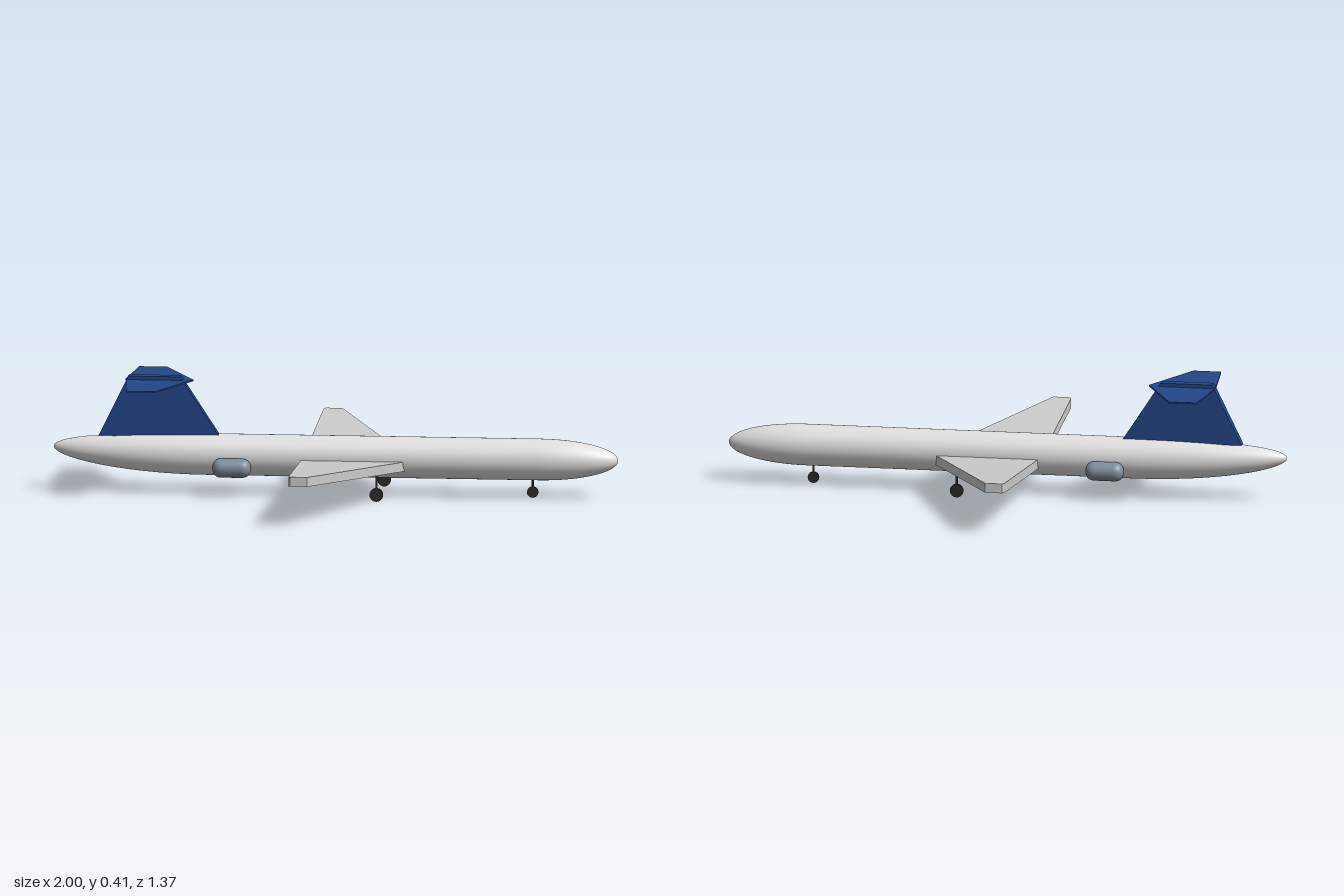
import * as THREE from 'three';

const mat = (name, color) => {
  const m = new THREE.MeshStandardMaterial({ color });
  m.name = name;
  return m;
};

// Round body along x, with elliptical ends: tail at x0..x1, nose at x2..x3
function roundBody(x0, x1, x2, x3, r, power = 2) {
  const pts = [], n = 14;
  const end = (a) => [Math.pow(Math.cos(a), 2 / power), r * Math.pow(Math.sin(a), 2 / power)];
  for (let i = 0; i <= n; i++) {
    const [t, rad] = end((i / n) * Math.PI / 2);
    pts.push(new THREE.Vector2(i ? rad : 0, x1 - (x1 - x0) * (i === n ? 0 : t)));
  }
  for (let i = n; i >= 0; i--) {
    const [t, rad] = end((i / n) * Math.PI / 2);
    pts.push(new THREE.Vector2(i ? rad : 0, x2 + (x3 - x2) * (i === n ? 0 : t)));
  }
  return new THREE.LatheGeometry(pts, 40).rotateZ(-Math.PI / 2);
}

const slab = (pts, depth) => new THREE.ExtrudeGeometry(
  new THREE.Shape(pts.map(([x, y]) => new THREE.Vector2(x, y))),
  { depth, bevelEnabled: false });

// Flat panel from [x, z] outline on one side, rising outward by slope
function panel(outline, side, bottom, thickness, slope) {
  const g = slab(outline.map(([x, z]) => [x, z * side]), thickness)
    .rotateX(Math.PI / 2).translate(0, bottom + thickness, 0);
  const p = g.attributes.position;
  for (let i = 0; i < p.count; i++) p.setY(i, p.getY(i) + Math.abs(p.getZ(i)) * slope);
  g.computeVertexNormals();
  return g;
}

export function createModel() {
  const model = new THREE.Group();
  model.name = 'airliner';
  const white = mat('fuselage white', 0xe0e0e0);
  const grey = mat('wing grey', 0xcccccc);
  const blue = mat('tail blue', 0x234588);
  const steel = mat('engine steel', 0x7f8c99);
  const dark = mat('gear black', 0x2a2a2a);
  const add = (name, geo, material, x = 0, y = 0, z = 0) => {
    const m = new THREE.Mesh(geo, material);
    m.name = name;
    m.position.set(x, y, z);
    model.add(m);
  };

  // Fuselage, with the tail cone swept slightly upward
  const body = roundBody(-1, -0.45, 0.72, 1, 0.0735);
  const p = body.attributes.position;
  for (let i = 0; i < p.count; i++) {
    const t = Math.max(0, (-0.45 - p.getX(i)) / 0.55);
    p.setY(i, p.getY(i) + 0.02 * t * t);
  }
  add('fuselage', body, white, 0, 0.137, 0);

  // Fin
  add('fin', slab([[-0.84, 0.2], [-0.41, 0.2], [-0.55, 0.415], [-0.735, 0.415]], 0.036)
    .translate(0, 0, -0.018), blue);

  const wing = [[-0.12, 0], [0.277, 0], [-0.04, 0.687], [-0.1, 0.687], [-0.106, 0.675]];
  const stabilizer = [[-0.745, 0], [-0.505, 0], [-0.62, 0.248], [-0.72, 0.248]];

  // Main or nose landing gear: strut and wheel
  const gear = (name, x, z, radius, wheelY, top) => {
    add(name + 'Strut', new THREE.CylinderGeometry(0.004, 0.004, top - wheelY, 10),
      dark, x, (top + wheelY) / 2, z);
    add(name + 'Wheel', new THREE.CylinderGeometry(radius, radius, 0.009, 24).rotateX(Math.PI / 2),
      dark, x, wheelY, z);
  };

  // Mirrored parts
  for (const [label, side] of [['right', 1], ['left', -1]]) {
    add(label + 'Wing', panel(wing, side, 0.092, 0.034, 0.085), grey);
    add(label + 'Stabilizer', panel(stabilizer, side, 0.3975, 0.005, 0), blue);
    add(label + 'Engine', roundBody(-0.068, -0.035, 0.035, 0.068, 0.034, 2.3), steel,
      -0.362, 0.104, side * 0.089);
    gear(label + 'Gear', 0.157, side * 0.152, 0.024, 0.028, 0.11);
  }
  gear('noseGear', 0.697, 0, 0.02, 0.02, 0.075);

  return model;
}
